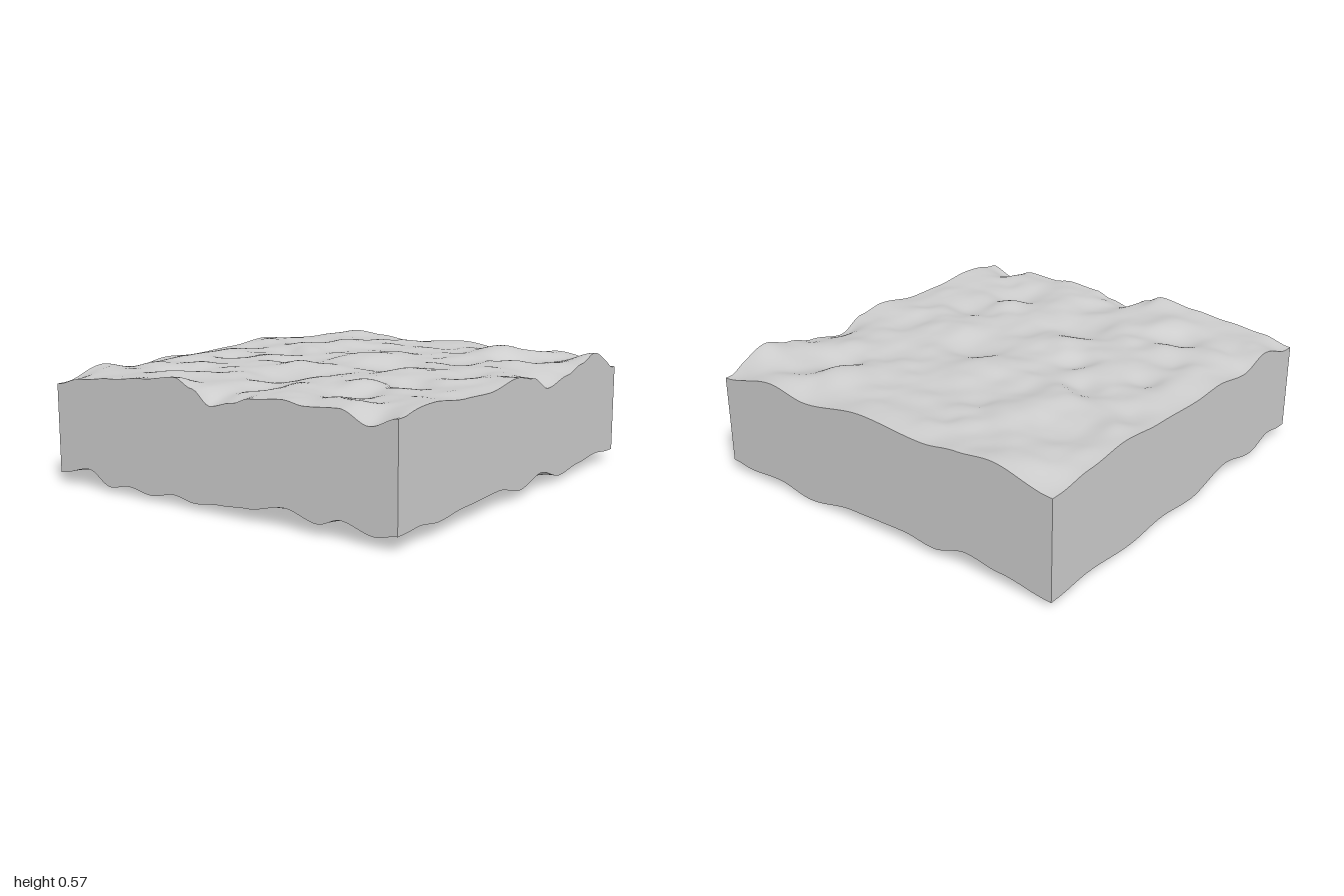
import * as THREE from 'three';

const HX = 0.955, HZ = 1, SEG = 100;

// Smooth seeded value noise in about -1..1
function hash(i, j, seed) {
  const s = Math.sin(i * 127.1 + j * 311.7 + seed * 74.7) * 43758.5453;
  return (s - Math.floor(s)) * 2 - 1;
}
function noise(x, z, seed) {
  const i = Math.floor(x), j = Math.floor(z);
  const fade = t => t * t * t * (t * (t * 6 - 15) + 10);
  const u = fade(x - i), v = fade(z - j), mix = THREE.MathUtils.lerp;
  return mix(mix(hash(i, j, seed), hash(i + 1, j, seed), u),
    mix(hash(i, j + 1, seed), hash(i + 1, j + 1, seed), u), v);
}

// Edge outline: smooth height curve through [position, height] points
function outline(points) {
  return t => {
    let k = 0;
    while (k < points.length - 2 && t > points[k + 1][0]) k++;
    const [a, ya] = points[k], [b, yb] = points[k + 1];
    return THREE.MathUtils.lerp(ya, yb, THREE.MathUtils.smoothstep(t, a, b));
  };
}
const topEdges = {
  front: outline([[-0.955, 0.485], [-0.8, 0.52], [-0.6, 0.54], [-0.4, 0.56], [-0.2, 0.585], [-0.1, 0.545],
    [0, 0.48], [0.12, 0.505], [0.22, 0.535], [0.4, 0.55], [0.5, 0.535], [0.68, 0.545], [0.82, 0.49], [0.955, 0.535]]),
  left: outline([[-1, 0.49], [-0.9, 0.555], [-0.75, 0.588], [-0.6, 0.55], [-0.45, 0.515], [-0.25, 0.48],
    [-0.1, 0.545], [0.05, 0.567], [0.3, 0.535], [0.5, 0.54], [0.75, 0.562], [0.9, 0.56], [1, 0.535]]),
  back: outline([[-0.955, 0.5], [-0.64, 0.565], [-0.47, 0.55], [-0.29, 0.53], [0.07, 0.555],
    [0.42, 0.51], [0.64, 0.545], [0.955, 0.49]]),
  right: outline([[-1, 0.5], [-0.75, 0.525], [-0.5, 0.55], [-0.24, 0.53], [0.08, 0.52], [0.27, 0.53],
    [0.52, 0.5], [0.71, 0.545], [1, 0.485]]),
};
const baseEdges = {
  front: outline([[-0.955, 0.06], [-0.76, 0.1], [-0.62, 0.035], [-0.5, 0.055], [-0.36, 0.035], [-0.22, 0.06],
    [-0.1, 0.04], [0.05, 0.055], [0.2, 0.065], [0.4, 0.1], [0.57, 0.06], [0.68, 0.095], [0.85, 0.055], [0.955, 0.075]]),
  left: outline([[-1, 0.06], [-0.8, 0.075], [-0.6, 0.06], [-0.4, 0.04], [-0.2, 0.09], [0, 0.05],
    [0.2, 0.088], [0.5, 0.08], [0.7, 0.065], [0.85, 0.083], [1, 0.075]]),
  back: outline([[-0.955, 0.03], [-0.69, 0.065], [-0.51, 0.09], [-0.33, 0.045], [-0.16, 0.065], [0.15, 0.06],
    [0.42, 0.02], [0.64, 0.055], [0.82, 0.045], [0.955, 0.06]]),
  right: outline([[-1, 0.03], [-0.75, 0.045], [-0.43, 0.025], [-0.18, 0.045], [0.08, 0.025], [0.39, 0.08],
    [0.65, 0.035], [0.84, 0.08], [1, 0.06]]),
};

// Upper surface relief: x, z, radius, height (hollows are negative)
const topRelief = [[-0.52, 0.63, 0.11, -0.05], [0.49, 0.64, 0.11, -0.05], [0.6, -0.62, 0.11, -0.055],
  [-0.06, 0.43, 0.14, -0.04], [0.06, 0.76, 0.12, -0.035], [-0.5, -0.14, 0.1, -0.04], [-0.28, 0.07, 0.09, -0.03],
  [0.22, -0.1, 0.13, -0.03], [0.6, 0.34, 0.1, -0.03], [-0.66, 0.07, 0.1, -0.03], [-0.87, -0.24, 0.1, -0.045],
  [-0.68, -0.58, 0.12, -0.03], [0.71, -0.8, 0.1, -0.03], [-0.88, 0.66, 0.1, -0.03], [-0.66, 0.34, 0.09, -0.025],
  [0.45, -0.74, 0.12, 0.045], [-0.53, 0.47, 0.1, 0.02], [0.42, 0.5, 0.1, 0.025], [-0.12, 0.24, 0.14, 0.025],
  [-0.5, -0.32, 0.12, 0.025], [-0.9, -0.42, 0.1, 0.025], [0.42, 0.04, 0.1, 0.02], [0.02, -0.28, 0.12, 0.015],
  [0.64, 0.5, 0.1, 0.015], [-0.4, 0.8, 0.12, 0.02], [0.68, -0.42, 0.12, 0.02], [-0.42, -0.6, 0.13, 0.02]];
// Underside relief, with bulges hanging down
const baseRelief = [[-0.38, 0.77, 0.15, -0.055], [0.8, -0.4, 0.13, -0.045], [0.48, 0.47, 0.11, -0.035],
  [-0.79, 0.24, 0.11, -0.03], [0.12, -0.2, 0.11, -0.03], [-0.37, 0.48, 0.1, -0.02], [0.6, -0.28, 0.1, -0.02],
  [-0.4, 0, 0.11, -0.03], [0.05, 0.82, 0.12, -0.035], [0.8, 0.72, 0.12, -0.045], [-0.15, -0.6, 0.13, -0.03],
  [0.63, 0.46, 0.1, 0.03], [-0.62, 0.24, 0.11, 0.03], [0.28, -0.18, 0.11, 0.03], [-0.2, 0.5, 0.1, 0.025],
  [-0.22, 0.02, 0.1, 0.02], [0.2, 0.25, 0.13, 0.02], [-0.5, -0.65, 0.13, 0.025]];

function bumps(list, x, z) {
  return list.reduce((sum, [cx, cz, r, h]) =>
    sum + h * Math.exp(-((x - cx) ** 2 + (z - cz) ** 2) / (r * r)), 0);
}
// Ease the interior relief into the four outlines
function toEdges(y, x, z, edges) {
  const sides = [[HX - x, edges.left(z)], [HX + x, edges.right(z)], [HZ - z, edges.front(x)], [HZ + z, edges.back(x)]];
  for (const [gap, height] of sides) y = THREE.MathUtils.lerp(y, height, Math.exp(-((gap / 0.11) ** 2)));
  return y;
}
function topHeight(x, z) {
  const r = 0.01 * noise(x * 4.5, z * 5.5, 3) + 0.008 * noise(x * 9, z * 9, 8) + bumps(topRelief, x, z);
  return toEdges(0.547 + 0.05 * Math.tanh(r / 0.05), x, z, topEdges);
}
function baseHeight(x, z) {
  const r = 0.012 * noise(x * 4.5, z * 5, 21) + 0.008 * noise(x * 9, z * 9, 31) + bumps(baseRelief, x, z);
  return toEdges(0.05 + 0.055 * Math.tanh(r / 0.055), x, z, baseEdges);
}

export function createModel() {
  const group = new THREE.Group();
  const material = new THREE.MeshStandardMaterial({ color: 0xcccccc });

  // Move each vertex of a flat panel to the height given by a rule
  function addPanel(name, geometry, rule) {
    const p = geometry.attributes.position;
    for (let i = 0; i < p.count; i++) p.setY(i, rule(p.getX(i), p.getZ(i), p.getY(i)));
    geometry.computeVertexNormals();
    const mesh = new THREE.Mesh(geometry, material);
    mesh.name = name;
    group.add(mesh);
  }

  // Rippled upper and lower surfaces
  const sheet = turn => new THREE.PlaneGeometry(2 * HX, 2 * HZ, SEG, SEG).rotateX(turn);
  addPanel('topSurface', sheet(-Math.PI / 2), topHeight);
  addPanel('underside', sheet(Math.PI / 2), baseHeight);

  // Four flat walls joining the two surfaces; left is the model's own, at +x
  const walls = [['frontWall', HX, HZ], ['leftWall', HZ, HX], ['backWall', HX, HZ], ['rightWall', HZ, HX]];
  walls.forEach(([name, half, offset], quarter) => {
    const wall = new THREE.PlaneGeometry(2 * half, 1, SEG, 1).translate(0, 0, offset).rotateY(quarter * Math.PI / 2);
    addPanel(name, wall, (x, z, y) => (y > 0 ? topHeight(x, z) : baseHeight(x, z)));
  });
  return group;
}
